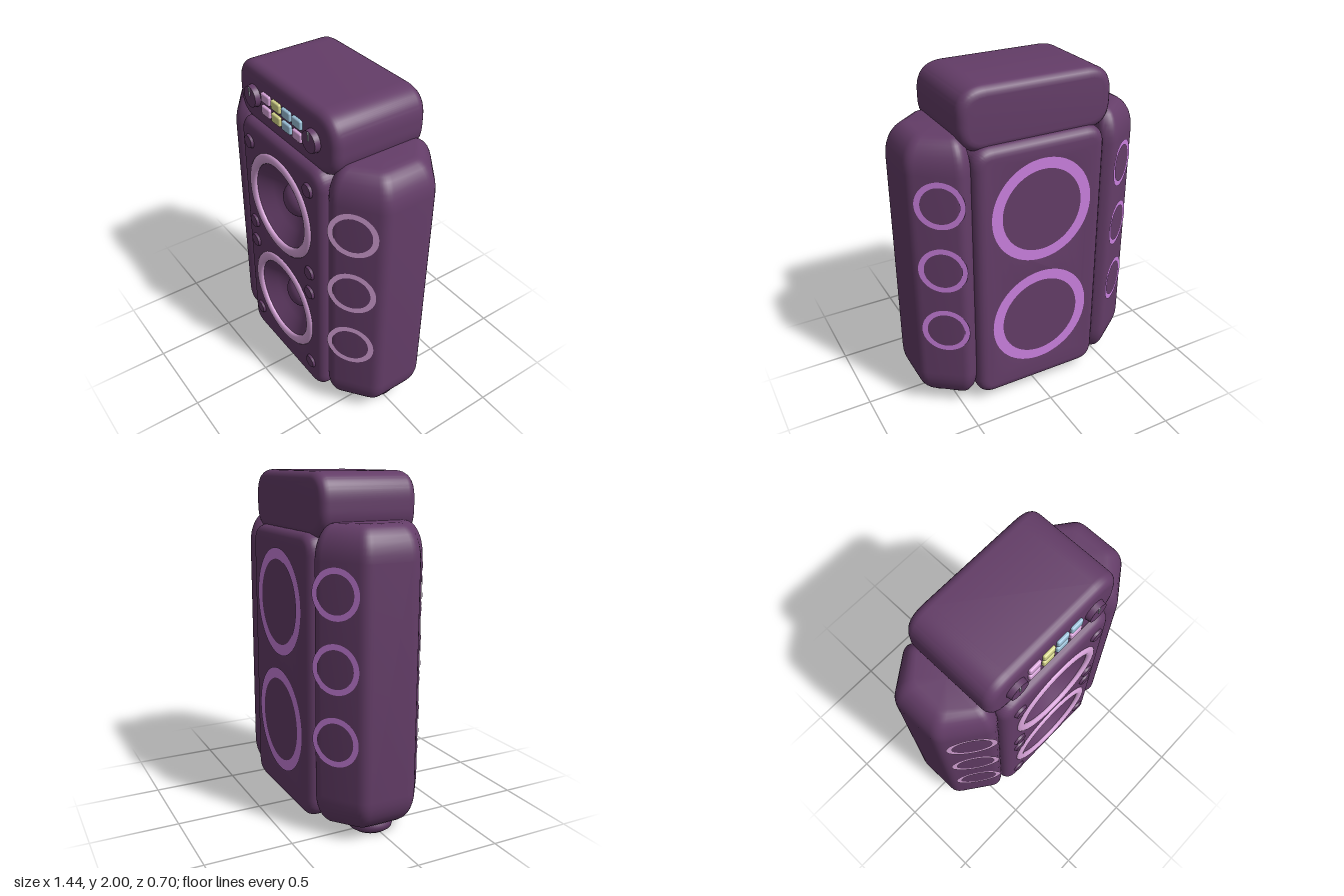
import * as THREE from 'three';
import { toCreasedNormals } from 'three/addons/utils/BufferGeometryUtils.js';
import { RoundedBoxGeometry } from 'three/addons/geometries/RoundedBoxGeometry.js';

const material = (name, color) => {
  const m = new THREE.MeshStandardMaterial({ color });
  m.name = name;
  return m;
};

// Closed outline with softened corners; each corner is [x, y, radius]
function softOutline(corners) {
  const shape = new THREE.Shape();
  const n = corners.length;
  corners.forEach((c, i) => {
    const p = new THREE.Vector2(c[0], c[1]);
    const toward = (k) => {
      const q = new THREE.Vector2(corners[k][0], corners[k][1]);
      return q.sub(p).setLength(c[2]).add(p);
    };
    const a = toward((i + n - 1) % n), b = toward((i + 1) % n);
    if (i === 0) shape.moveTo(a.x, a.y);
    else shape.lineTo(a.x, a.y);
    shape.quadraticCurveTo(p.x, p.y, b.x, b.y);
  });
  shape.closePath();
  return shape;
}

// Rounded slab between z0 and z1 with bevelled edges and optional round holes
function slab(w, h, r, z0, z1, bevel, holes = []) {
  const x = w / 2, y = h / 2;
  const shape = softOutline([[-x, -y, r], [x, -y, r], [x, y, r], [-x, y, r]]);
  for (const [cy, hr] of holes) {
    const path = new THREE.Path();
    path.absarc(0, cy, hr, 0, Math.PI * 2, true);
    shape.holes.push(path);
  }
  const geo = new THREE.ExtrudeGeometry(shape, {
    depth: z1 - z0 - 2 * bevel, bevelSize: bevel, bevelThickness: bevel,
    bevelOffset: -bevel, bevelSegments: 5, curveSegments: 24,
  });
  geo.translate(0, 0, z0 + bevel);
  return toCreasedNormals(geo, 0.6);
}

// Side cabinet: wedge-shaped plan stacked upward, drawn in at both ends
function wingGeometry() {
  const plan = softOutline([
    [0.4, -0.29, 0.03], [0.475, -0.332, 0.04], [0.72, -0.157, 0.045],
    [0.72, 0.157, 0.045], [0.475, 0.332, 0.04], [0.4, 0.29, 0.03],
  ]).getPoints(5).slice(0, -1);
  const steps = 8, radius = 0.19, low = 0.06, high = 1.74;
  const levels = [[low, 1, 0]];
  for (let i = steps; i >= 0; i--) {
    const a = (i / steps) * Math.PI / 2;
    levels.push([low + radius * (1 - Math.sin(a)), 1 - Math.cos(a), 1]);
  }
  for (let i = 0; i <= steps; i++) {
    const a = (i / steps) * Math.PI / 2;
    levels.push([high - radius * (1 - Math.sin(a)), 1 - Math.cos(a), 1]);
  }
  levels.push([high, 1, 0]);
  const pos = [], index = [], n = plan.length;
  levels.forEach(([y, k, open], l) => {
    const sx = open * (1 - 0.5 * k), sz = open * (1 - 0.36 * k);
    plan.forEach((p, i) => {
      pos.push(0.47 + (p.x - 0.47) * sx, y, p.y * sz);
      if (l === levels.length - 1) return;
      const a = l * n + i, b = l * n + (i + 1) % n;
      index.push(a, a + n, b, b, a + n, b + n);
    });
  });
  const geo = new THREE.BufferGeometry();
  geo.setAttribute('position', new THREE.Float32BufferAttribute(pos, 3));
  geo.setIndex(index);
  return toCreasedNormals(geo, 0.6);
}

export function createModel() {
  const body = material('plum body', 0x643d68);
  const pink = material('pink trim', 0xd8a4da);
  const orchid = material('orchid trim', 0xca80de);
  const yellow = material('yellow key', 0xd6d68c);
  const blue = material('blue key', 0x9cc2da);
  const pale = material('pale pointer', 0xd4dde6);

  const model = new THREE.Group();
  const add = (name, geo, mat, x = 0, y = 0, z = 0, parent = model) => {
    const mesh = new THREE.Mesh(geo, mat);
    mesh.name = name;
    mesh.position.set(x, y, z);
    parent.add(mesh);
    return mesh;
  };

  // Main cabinet with two driver openings
  const midY = 0.865, drivers = [1.255, 0.54];
  add('mainCabinet',
    slab(0.82, 1.63, 0.12, -0.348, 0.33, 0.06, drivers.map((y) => [y - midY, 0.235])),
    body, 0, midY);

  // Front drivers: rim, cone and dome; flat rings on the back
  const coneGeo = new THREE.LatheGeometry(
    [[0.265, 0], [0.18, -0.07], [0.09, -0.13], [0, -0.135]].map((p) => new THREE.Vector2(...p)), 64);
  coneGeo.rotateX(Math.PI / 2);
  const domeGeo = new THREE.SphereGeometry(0.105, 32, 12, 0, Math.PI * 2, 0, Math.PI / 2);
  domeGeo.scale(1, 0.75, 1).rotateX(Math.PI / 2);
  const rimGeo = new THREE.TorusGeometry(0.285, 0.031, 14, 72);
  rimGeo.scale(1, 1, 0.6);
  for (const y of drivers) {
    add('driverRim', rimGeo, pink, 0, y, 0.328);
    add('driverCone', coneGeo, body, 0, y, 0.33);
    add('driverDome', domeGeo, body, 0, y, 0.205);
    add('backCover', new THREE.CircleGeometry(0.305, 64), body, 0, y, -0.35).rotation.y = Math.PI;
    add('backRing', new THREE.RingGeometry(0.25, 0.315, 64), orchid, 0, y, -0.353).rotation.y = Math.PI;
  }

  // Screw caps and small base studs
  const screwGeo = new THREE.CylinderGeometry(0.038, 0.046, 0.02, 24).rotateX(Math.PI / 2);
  const studGeo = new THREE.CylinderGeometry(0.036, 0.03, 0.04, 20);
  for (const x of [-0.295, 0.295]) {
    for (const y of [1.54, 0.97, 0.82, 0.235]) add('screwCap', screwGeo, body, x, y, 0.335);
    for (const z of [-0.2, 0.2]) add('baseStud', studGeo, body, x * 0.9, 0.05, z);
  }

  // Side cabinets, each with slanted front and back faces carrying three rings
  const wing = wingGeometry();
  const ringGeo = new THREE.RingGeometry(0.108, 0.14, 48);
  const footGeo = new THREE.LatheGeometry(
    [[0, 0.02], [0.05, 0.02], [0.06, 0], [0.1, 0], [0.125, 0.018], [0.132, 0.045],
      [0.125, 0.07], [0.1, 0.1], [0.08, 0.14]].map((p) => new THREE.Vector2(...p)), 40);
  const slant = Math.atan2(0.175, 0.245);
  for (const [name, turn] of [['leftSideCabinet', 0], ['rightSideCabinet', Math.PI]]) {
    const side = new THREE.Group();
    side.name = name;
    side.position.z = -0.0125;
    side.rotation.y = turn;
    model.add(side);
    add('sideShell', wing, body, 0, 0, 0, side);
    add('foot', footGeo, body, 0.505, 0, 0, side);
    for (const y of [1.385, 0.985, 0.58]) {
      for (const f of [1, -1]) {
        const isFront = (f === 1) === (turn === 0);
        const ring = add('sideRing', ringGeo, isFront ? pink : orchid,
          0.58, y, f * 0.262, side);
        ring.rotation.y = f === 1 ? slant : Math.PI - slant;
      }
    }
  }

  // Control head on top
  add('controlHead', slab(0.935, 0.36, 0.16, -0.3, 0.285, 0.055), body, 0, 1.82);

  // Knobs with pointers
  const knobGeo = new THREE.CylinderGeometry(0.06, 0.066, 0.04, 32).rotateX(Math.PI / 2);
  for (const x of [-0.285, 0.285]) {
    add('knob', knobGeo, body, x, 1.82, 0.297);
    add('knobPointer', new THREE.BoxGeometry(0.009, 0.05, 0.006), pale, x, 1.852, 0.318);
  }

  // Coloured keys in two rows
  const keyGeo = new RoundedBoxGeometry(0.083, 0.056, 0.03, 3, 0.01);
  const rows = [[pink, yellow, blue, blue], [pink, yellow, blue, pink]];
  rows.forEach((row, r) => row.forEach((mat, c) =>
    add('key', keyGeo, mat, -0.155 + c * 0.1005, 1.855 - r * 0.076, 0.287)));

  return model;
}
